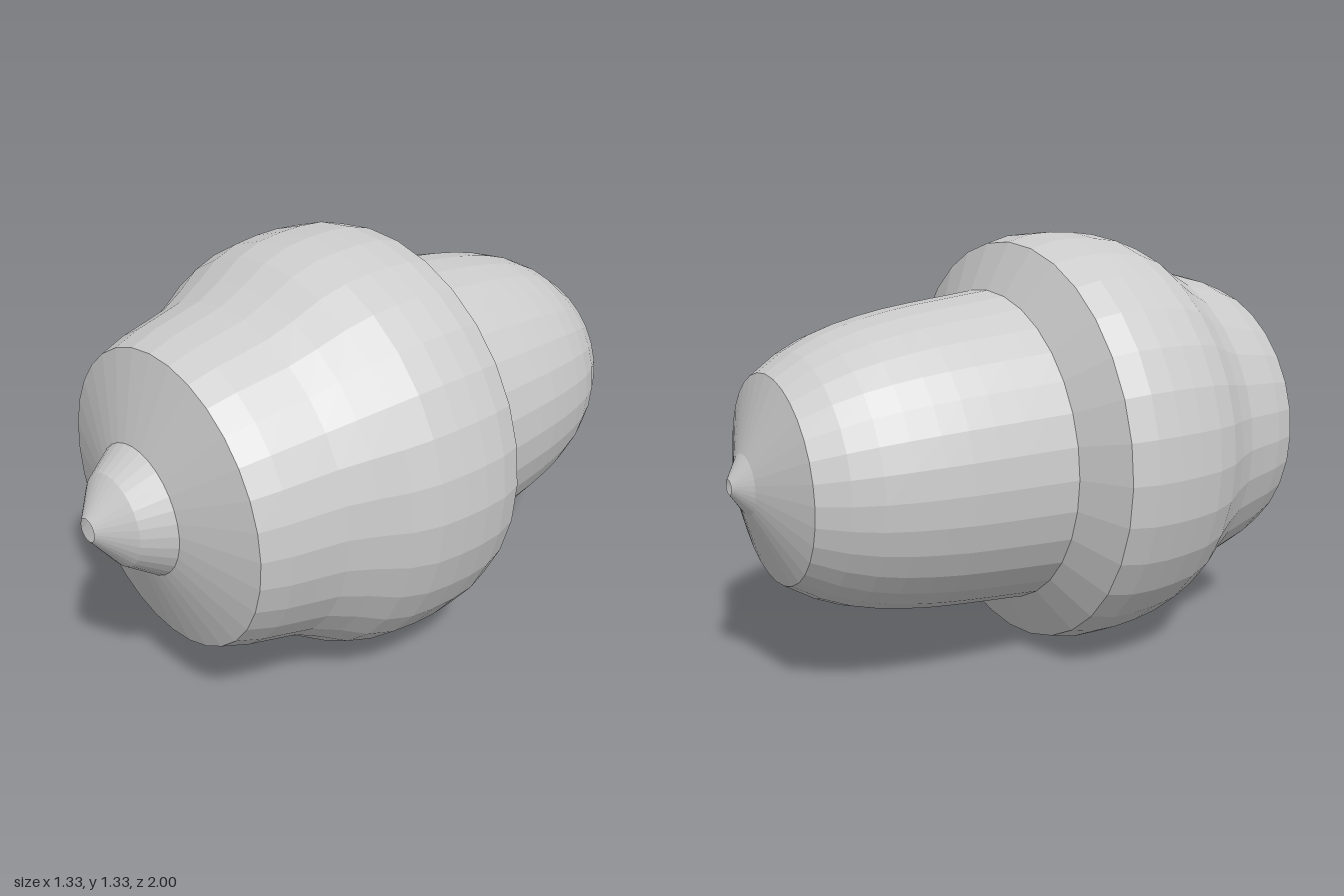
import * as THREE from 'three';

const SIDES = 32;
const AXIS_HEIGHT = 0.667;

// Each section is a list of [radius, z] running from back to front.
const SECTIONS = {
  rearTip: [[0.022, -1], [0.09, -0.955], [0.31, -0.875]],
  rearBarrel: [
    [0.31, -0.875], [0.365, -0.79], [0.402, -0.71], [0.427, -0.63], [0.446, -0.545],
    [0.46, -0.465], [0.47, -0.385], [0.479, -0.3], [0.487, -0.22], [0.495, -0.14],
  ],
  shoulderRing: [[0.495, -0.14], [0.64, -0.06]],
  frontBody: [
    [0.64, -0.06], [0.661, 0.02], [0.665, 0.1], [0.661, 0.18], [0.65, 0.265], [0.62, 0.35],
    [0.57, 0.43], [0.528, 0.51], [0.507, 0.59], [0.487, 0.67], [0.455, 0.755],
  ],
  frontFace: [[0.455, 0.755], [0.2, 0.835]],
  noseTip: [[0.2, 0.835], [0.14, 0.92], [0.035, 1]],
};

export function createModel() {
  const group = new THREE.Group();
  // The shell is thin and open at both tips
  const material = new THREE.MeshStandardMaterial({
    color: 0xcccccc, flatShading: true, side: THREE.DoubleSide,
  });
  for (const [name, profile] of Object.entries(SECTIONS)) {
    const points = profile.map(([r, z]) => new THREE.Vector2(r, z));
    const geometry = new THREE.LatheGeometry(points, SIDES);
    geometry.rotateX(Math.PI / 2); // lay the turning axis along z
    const mesh = new THREE.Mesh(geometry, material);
    mesh.name = name;
    mesh.position.y = AXIS_HEIGHT;
    group.add(mesh);
  }
  return group;
}
